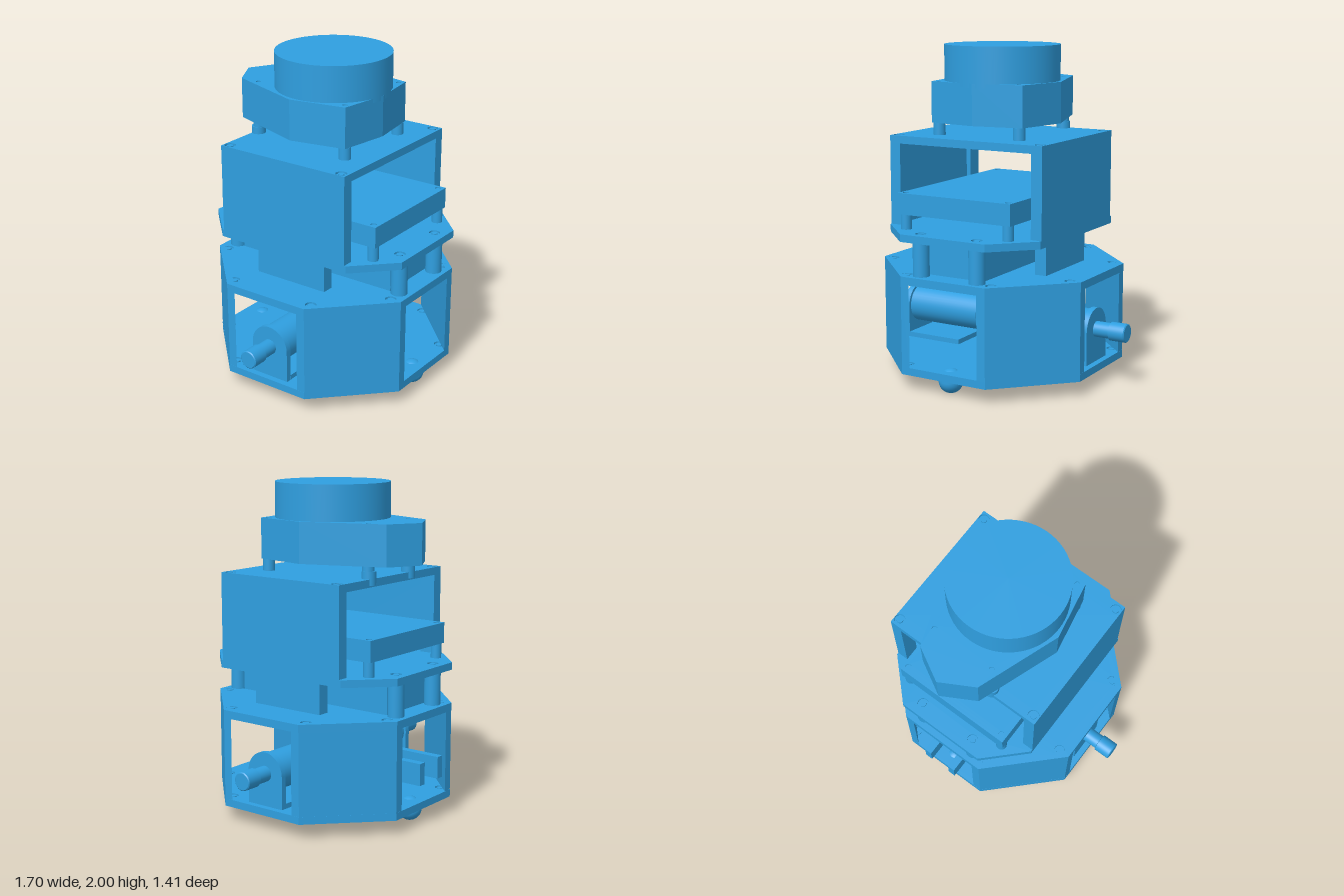
import * as THREE from 'three';

export function createModel() {
  const model = new THREE.Group();
  const blue = new THREE.MeshStandardMaterial({ color: 0x2f9fe0 });
  blue.name = 'blue';
  const midZ = 0.022; // fore-aft centre of the chassis

  function add(name, geometry, x = 0, y = 0, z = 0) {
    const mesh = new THREE.Mesh(geometry, blue);
    mesh.name = name;
    mesh.position.set(x, y, z);
    model.add(mesh);
    return mesh;
  }
  // Box given by its limits
  function box(name, x0, x1, y0, y1, z0, z1) {
    return add(name, new THREE.BoxGeometry(x1 - x0, y1 - y0, z1 - z0),
      (x0 + x1) / 2, (y0 + y1) / 2, (z0 + z1) / 2);
  }
  // Upright cylinder from y0 to y1
  function post(name, x, z, r, y0, y1, sides = 32) {
    return add(name, new THREE.CylinderGeometry(r, r, y1 - y0, sides), x, (y0 + y1) / 2, z);
  }
  // Horizontal plate from an outline of [x, z] points, with round holes
  function plate(name, points, y0, y1, holes = [], r = 0.033) {
    const shape = new THREE.Shape(points.map(([x, z]) => new THREE.Vector2(x, -z)));
    for (const [x, z] of holes) {
      const hole = new THREE.Path();
      hole.absarc(x, -z, r, 0, Math.PI * 2, true);
      shape.holes.push(hole);
    }
    const geometry = new THREE.ExtrudeGeometry(shape, { depth: y1 - y0, bevelEnabled: false, curveSegments: 20 });
    geometry.rotateX(-Math.PI / 2);
    return add(name, geometry, 0, y0, 0);
  }
  // Plate with recessed screws in its holes
  function screwedPlate(name, points, y0, y1, holes) {
    plate(name, points, y0, y1, holes);
    for (const [x, z] of holes) {
      post('screwHead', x, z, 0.033, y0 + 0.01, y1 - 0.012, 20);
      post('screwCore', x, z, 0.019, y0 + 0.002, y1 - 0.001, 16);
    }
  }
  // Repeat [x, z] for both sides
  const mirrorX = (list) => list.flatMap(([x, z]) => [[x, z], [-x, z]]);

  // Octagonal chassis: floor, deck and four diagonal walls
  const octagon = [[0.285, 0.705], [0.685, 0.305], [0.685, -0.262], [0.285, -0.662],
    [-0.285, -0.662], [-0.685, -0.262], [-0.685, 0.305], [-0.285, 0.705]];
  const rimScrews = mirrorX([[0.615, 0.305], [0.615, -0.262], [0.285, 0.635], [0.285, -0.592]]);
  const footScrews = mirrorX([[0.3, 0.1], [0.3, -0.055], [0.42, 0.1], [0.42, -0.055]]);
  screwedPlate('floorPlate', octagon, 0.09, 0.135, [...rimScrews, ...footScrews]);
  screwedPlate('deckPlate', octagon, 0.632, 0.68, rimScrews);
  for (const sx of [1, -1]) {
    for (const sz of [1, -1]) {
      const wall = [[0.285, 0.683], [0.684, 0.284], [0.684, 0.229], [0.23, 0.683]];
      plate('diagonalWall', wall.map(([x, z]) => [x * sx, midZ + z * sz]), 0.0905, 0.6795);
    }
  }

  // Ball casters front and back
  for (const z of [0.615, -0.56]) {
    add('casterBall', new THREE.SphereGeometry(0.073, 32, 20), 0, 0.073, z);
    post('casterSocket', 0, z, 0.073, 0.073, 0.092);
  }

  // Drive motors, their L brackets, output shafts and rear bars
  const motorProfile = [[0, 0.07], [0.1, 0.07], [0.115, 0.08], [0.115, 0.108], [0.1, 0.114], [0.1, 0.122],
    [0.115, 0.126], [0.115, 0.61], [0, 0.61]];
  const shaftProfile = [[0, 0.61], [0.047, 0.61], [0.047, 0.745], [0.056, 0.748], [0.056, 0.845], [0.05, 0.85], [0, 0.85]];
  // Sharp-edged lathe: each profile segment is its own band
  function turned(name, profile, sx) {
    for (let i = 0; i + 1 < profile.length; i++) {
      const pts = [profile[i], profile[i + 1]].map(([r, h]) => new THREE.Vector2(r, h));
      const geometry = new THREE.LatheGeometry(pts, 40);
      geometry.rotateZ(-Math.PI / 2);
      if (sx < 0) geometry.rotateY(Math.PI);
      add(name, geometry, 0, 0.333, midZ);
    }
  }
  const bracketShape = new THREE.Shape();
  bracketShape.moveTo(0.128, -0.198);
  bracketShape.lineTo(0.128, 0);
  bracketShape.absarc(0, 0, 0.128, 0, Math.PI, false);
  bracketShape.lineTo(-0.128, -0.198);
  for (const sx of [1, -1]) {
    turned('motor', motorProfile, sx);
    turned('wheelShaft', shaftProfile, sx);
    const upright = new THREE.ExtrudeGeometry(bracketShape, { depth: 0.035, bevelEnabled: false, curveSegments: 32 });
    upright.translate(0, 0, -0.0175).rotateY(Math.PI / 2);
    add('motorBracket', upright, sx * 0.63, 0.333, midZ);
    const foot = plate('motorFoot', [[0.245, 0.15], [0.612, 0.15], [0.612, -0.106], [0.245, -0.106]]
      .map(([x, z]) => [x * sx, z]), 0.135, 0.165,
    [[0.3, 0.1], [0.3, -0.055], [0.42, 0.1], [0.42, -0.055]].map(([x, z]) => [x * sx, z]), 0.022);
    foot.name = 'motorFoot';
    box('rearBar', sx * 0.093 - 0.024, sx * 0.093 + 0.024, 0.265, 0.398, -0.71, -0.09);
  }

  // Space between the deck and the middle plate
  box('battery', -0.2, 0.2, 0.68, 0.885, -0.53, 0.575);
  for (const sx of [1, -1]) {
    box('sideSupport', sx * 0.402 - 0.037, sx * 0.402 + 0.037, 0.68, 0.885, -0.22, 0.27);
    for (const z of [0.63, -0.585]) post('standoff', sx * 0.19, z, 0.049, 0.68, 0.885);
  }

  // Middle plate
  const middle = [[0.285, 0.705], [0.515, 0.475], [0.515, -0.432], [0.285, -0.662],
    [-0.285, -0.662], [-0.515, -0.432], [-0.515, 0.475], [-0.285, 0.705]];
  screwedPlate('middlePlate', middle, 0.885, 0.93, mirrorX([[0.19, 0.63], [0.19, -0.585]]));

  // Computer on four legs
  const legs = mirrorX([[0.347, 0.55], [0.347, -0.505]]);
  plate('computer', [[0.38, 0.585], [0.38, -0.54], [-0.38, -0.54], [-0.38, 0.585]], 1.02, 1.147, legs, 0.019);
  for (const [x, z] of legs) {
    post('computerLeg', x, z, 0.032, 0.93, 1.02);
    post('computerScrew', x, z, 0.019, 1.02, 1.14, 16);
  }

  // Housing: thin side walls, corner posts and a roof
  for (const sx of [1, -1]) {
    box('housingWall', sx * 0.495 - 0.02, sx * 0.495 + 0.02, 0.93, 1.42, -0.42, 0.465);
    for (const [z0, z1] of [[0.37, 0.465], [-0.42, -0.325]]) {
      box('housingPost', sx * 0.48 - 0.035, sx * 0.48 + 0.035, 0.93, 1.42, z0, z1);
    }
  }
  screwedPlate('housingRoof', [[0.515, 0.465], [0.515, -0.42], [-0.515, -0.42], [-0.515, 0.465]],
    1.42, 1.467, mirrorX([[0.48, 0.42], [0.48, -0.38]]));

  // Scanner on four feet, with a round turret
  const scannerHoles = mirrorX([[0.273, 0.297], [0.197, -0.388]]);
  for (const [x, z] of scannerHoles) {
    post('scannerFoot', x, z, 0.036, 1.465, 1.54);
    post('scannerScrew', x, z, 0.016, 1.54, 1.778, 16);
    if (z < 0) post('rearFootBoss', x, z - 0.005, 0.042, 1.43, 1.51);
  }
  plate('scannerBody', [[0, 0.372], [0.31, 0.325], [0.375, -0.02], [0.198, -0.515], [0, -0.625],
    [-0.198, -0.515], [-0.375, -0.02], [-0.31, 0.325]], 1.54, 1.785, scannerHoles, 0.016);
  post('scannerTurret', 0, midZ, 0.348, 1.76, 2, 64);

  return model;
}
